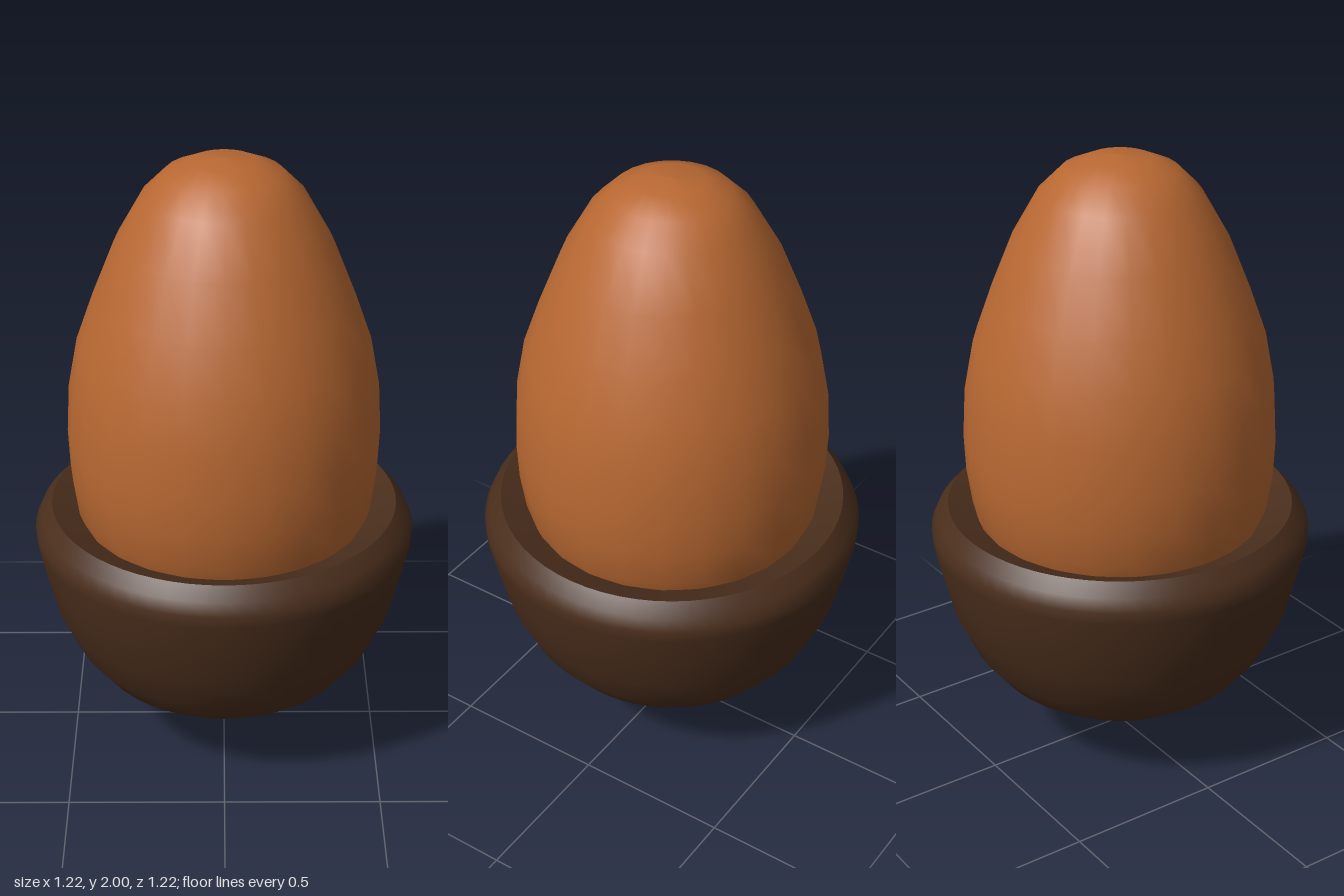
import * as THREE from 'three';

const toPoints = (pairs) => pairs.map(([r, y]) => new THREE.Vector2(r, y));

// Revolve a profile, listed from bottom to top, around the y axis.
function turned(name, pairs, sides, material) {
  const mesh = new THREE.Mesh(new THREE.LatheGeometry(toPoints(pairs), sides), material);
  mesh.name = name;
  return mesh;
}

export function createModel() {
  const model = new THREE.Group();
  model.name = 'acorn';
  const nutMaterial = new THREE.MeshStandardMaterial({ color: 0xb86832 });
  const cupMaterial = new THREE.MeshStandardMaterial({ color: 0x4a2e1c });

  // Egg-shaped nut, its lower end hidden in the cup
  model.add(turned('nut', [
    [0, 0.45], [0.2, 0.49], [0.34, 0.59], [0.43, 0.73], [0.475, 0.85],
    [0.492, 0.97], [0.497, 1.09], [0.488, 1.25], [0.458, 1.41], [0.405, 1.56],
    [0.335, 1.735], [0.25, 1.885], [0.18, 1.955], [0.1, 1.99], [0, 2],
  ], 24, nutMaterial));

  // Cup: round bowl, bevelled at the top
  const cup = new THREE.Group();
  cup.name = 'cup';
  cup.add(turned('cupBowl', [
    [0, 0.125], [0.11, 0.13], [0.21, 0.15], [0.31, 0.19], [0.42, 0.27],
    [0.49, 0.36], [0.55, 0.49], [0.586, 0.63], [0.608, 0.73], [0.61, 0.77],
    [0.592, 0.81], [0.555, 0.85],
  ], 64, cupMaterial));

  // Rim floor sloping down to the nut
  cup.add(turned('cupRim', [[0.555, 0.85].slice(), [0.47, 0.815], [0.4, 0.785]], 64, cupMaterial));
  model.add(cup);

  // Small pointed stem underneath
  model.add(turned('stem', [
    [0, 0], [0.022, 0.012], [0.065, 0.065], [0.115, 0.132],
  ], 32, cupMaterial));

  return model;
}
